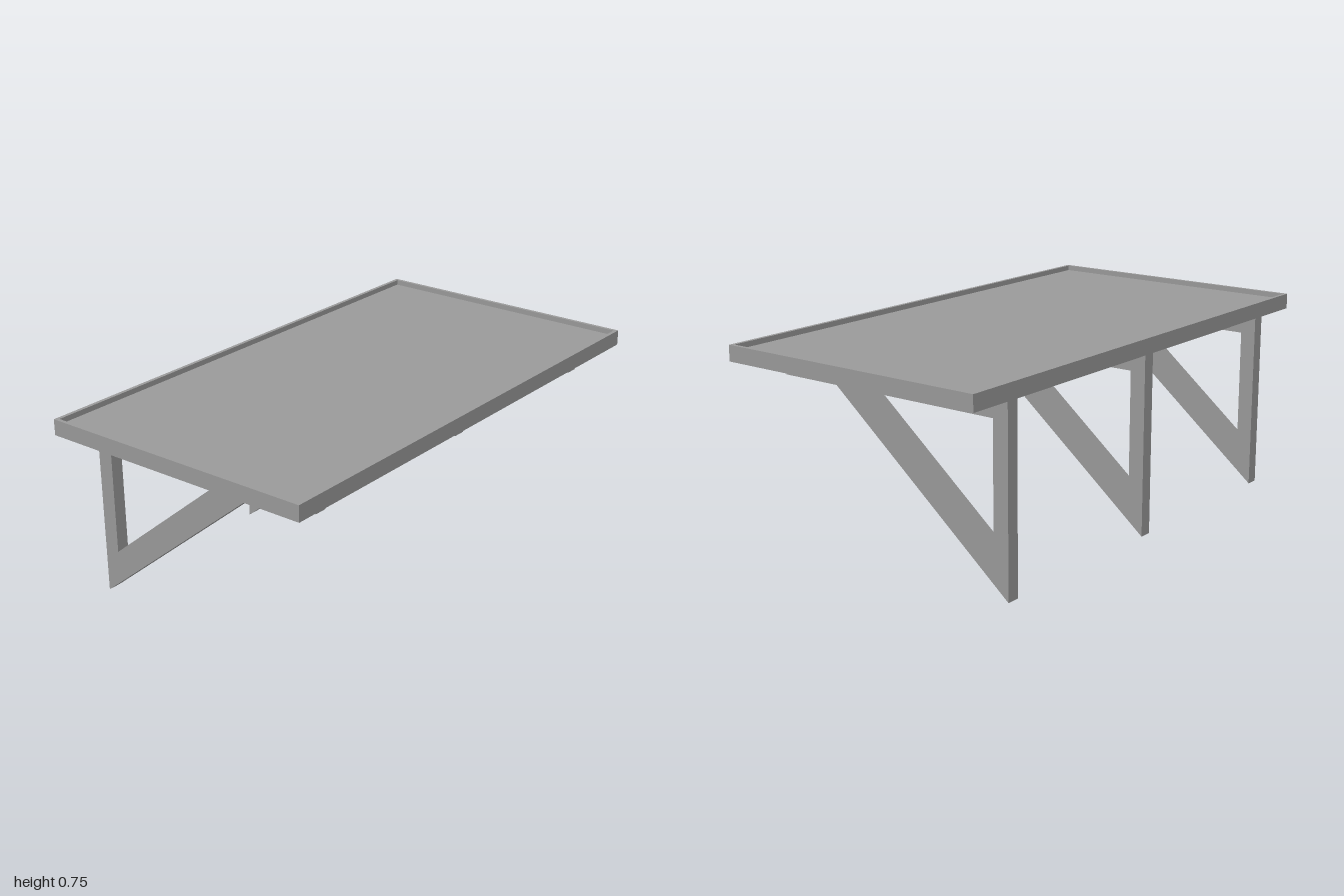
import * as THREE from 'three';

const WIDTH = 2, DEPTH = 1.1, RIM = 0.014;
const BOTTOM = 0.69, TOP = 0.75, FLOOR = 0.73;

const toPoints = (list) => list.map(([a, b]) => new THREE.Vector2(a, b));

function rectangle(w, d) {
  return toPoints([[-w / 2, -d / 2], [w / 2, -d / 2], [w / 2, d / 2], [-w / 2, d / 2]]);
}

function extrude(outline, hole, depth) {
  const shape = new THREE.Shape(outline);
  shape.holes.push(new THREE.Path(hole));
  return new THREE.ExtrudeGeometry(shape, { depth, bevelEnabled: false });
}

export function createModel() {
  const model = new THREE.Group();
  model.name = 'wallShelf';
  const grey = new THREE.MeshStandardMaterial({ color: 0x999999 });
  grey.name = 'grey';

  const add = (name, geometry) => {
    const mesh = new THREE.Mesh(geometry, grey);
    mesh.name = name;
    model.add(mesh);
    return mesh;
  };

  // Raised rim around the shelf top
  const innerW = WIDTH - 2 * RIM, innerD = DEPTH - 2 * RIM;
  const rim = extrude(rectangle(WIDTH, DEPTH), rectangle(innerW, innerD), TOP - BOTTOM);
  rim.rotateX(-Math.PI / 2);
  add('shelfRim', rim).position.y = BOTTOM;

  // Sunken panel inside the rim
  add('shelfPanel', new THREE.BoxGeometry(innerW, FLOOR - BOTTOM, innerD))
    .position.y = (FLOOR + BOTTOM) / 2;

  // Triangular brackets: profile in (z, y), with a triangular opening
  const thickness = 0.05;
  const outline = toPoints([[-0.538, 0], [0.465, 0.62 + 0], [0.465, BOTTOM], [-0.538, BOTTOM]]);
  outline.splice(1, 0, new THREE.Vector2(0.217, 0.62));
  const opening = toPoints([[-0.477, 0.178], [-0.477, 0.62], [0.06, 0.62]]);
  const bracket = extrude(outline, opening, thickness);
  bracket.rotateY(-Math.PI / 2).translate(thickness / 2, 0, 0);
  [['rightBracket', -0.79], ['middleBracket', 0], ['leftBracket', 0.79]].forEach(([name, x]) => {
    add(name, bracket).position.x = x;
  });

  return model;
}
